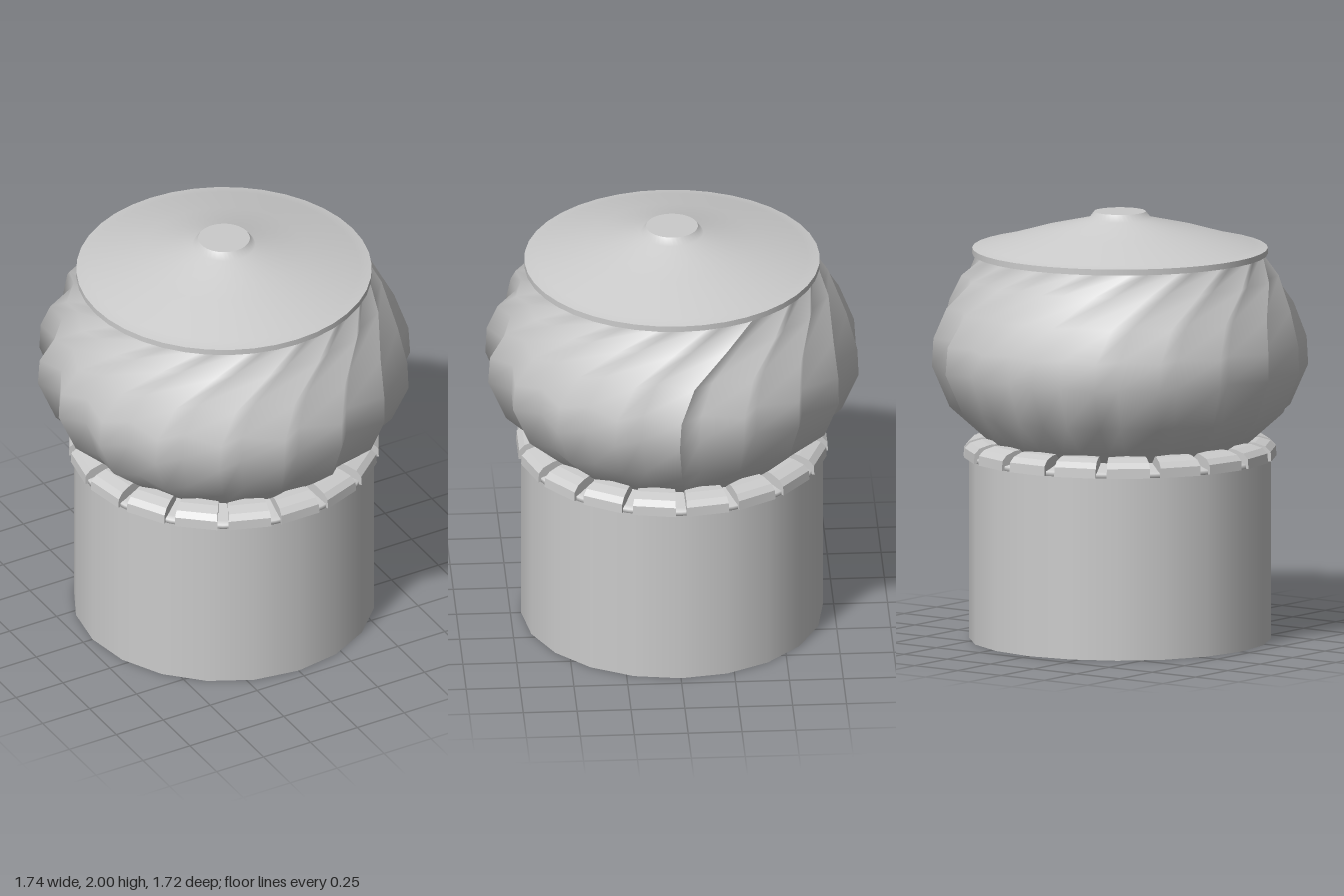
import * as THREE from 'three';

const DEG = Math.PI / 180;
const material = new THREE.MeshStandardMaterial({ color: 0xcccccc, side: THREE.DoubleSide });

function part(name, geometry) {
  const mesh = new THREE.Mesh(geometry, material);
  mesh.name = name;
  return mesh;
}

function lathe(name, points, sides) {
  return part(name, new THREE.LatheGeometry(points.map(([r, y]) => new THREE.Vector2(r, y)), sides));
}

// Bulging drum of swept vanes: each row has [y, tip radius, valley radius, twist in degrees]
function vaneDrum(count) {
  const rows = [
    [0.90, 0.57, 0.56, -4],
    [0.95, 0.63, 0.605, -2],
    [1.09, 0.79, 0.735, 0],
    [1.28, 0.872, 0.79, 1],
    [1.41, 0.865, 0.785, 0.5],
    [1.56, 0.81, 0.75, -4],
    [1.70, 0.735, 0.70, -17],
    [1.81, 0.66, 0.65, -33],
  ];
  const columns = count * 2 + 1;
  const positions = [], index = [];
  rows.forEach(([y, tip, valley, twist], j) => {
    for (let i = 0; i < columns; i++) {
      const isTip = i % 2 === 0;
      const step = 360 / count;
      const a = (Math.floor(i / 2) * step + (isTip ? 0 : step * 0.64) + twist) * DEG;
      const r = isTip ? tip : valley;
      positions.push(r * Math.cos(a), y, r * Math.sin(a));
      if (j < rows.length - 1 && i < columns - 1) {
        const p = j * columns + i, up = p + columns;
        index.push(p, up, p + 1, up, up + 1, p + 1);
      }
    }
  });
  const geometry = new THREE.BufferGeometry();
  geometry.setAttribute('position', new THREE.Float32BufferAttribute(positions, 3));
  geometry.setIndex(index);
  geometry.computeVertexNormals();
  return part('vaneDrum', geometry);
}

// Ring of folded tabs where the vanes meet the pipe
function tabRing(count) {
  const ring = new THREE.Group();
  ring.name = 'tabRing';
  const width = 0.2;
  const shape = new THREE.Shape([
    [0.58, 0.86], [0.718, 0.855], [0.715, 0.9], [0.69, 0.925], [0.64, 0.94], [0.57, 0.945],
  ].map(([r, y]) => new THREE.Vector2(r, y)));
  const geometry = new THREE.ExtrudeGeometry(shape, { depth: width, bevelEnabled: false });
  geometry.translate(0, 0, -width / 2);
  // Narrow each tab towards the centre so neighbours stay apart
  const pos = geometry.attributes.position;
  for (let i = 0; i < pos.count; i++) pos.setZ(i, pos.getZ(i) * pos.getX(i) / 0.715);
  geometry.computeVertexNormals();
  for (let i = 0; i < count; i++) {
    const tab = part('tab', geometry);
    tab.rotation.y = Math.PI / 2 + (i * 2 * Math.PI) / count;
    ring.add(tab);
  }
  return ring;
}

export function createModel() {
  const model = new THREE.Group();
  model.name = 'turbineVent';

  // Open pipe base
  const pipe = part('pipe', new THREE.CylinderGeometry(0.7, 0.7, 0.86, 20, 1, true));
  pipe.position.y = 0.43;
  model.add(pipe);

  // Collar closing the gap between pipe and drum
  model.add(lathe('collar', [[0.7, 0.855], [0.712, 0.855], [0.712, 0.875], [0.68, 0.88], [0.55, 0.91]], 36));
  model.add(tabRing(18));
  model.add(vaneDrum(18));

  // Shallow cone cap, its flat rim and top button
  model.add(lathe('capRim', [[0.685, 0], [0.685, 0.028]].map(([r, y]) => [r, y + 1.802]), 40));
  model.add(lathe('capUnderside', [[0, 1.802], [0.685, 1.802]], 40));
  model.add(lathe('cap', [[0.685, 1.83], [0.63, 1.84], [0.39, 1.91], [0.145, 1.967], [0.12, 2]], 40));
  model.add(lathe('capTop', [[0.12, 2], [0, 2]], 40));

  return model;
}
